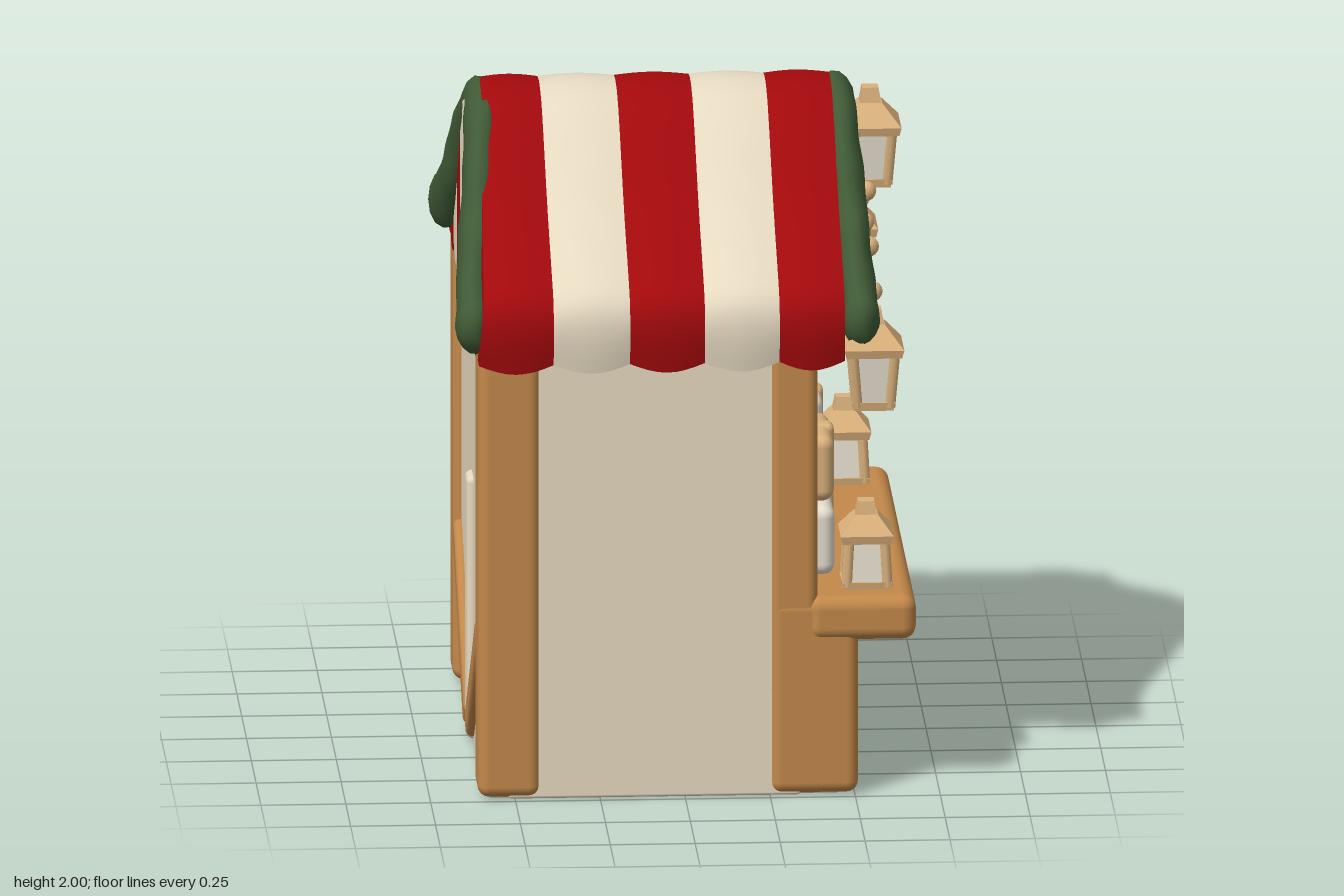
import * as THREE from 'three';
import { toCreasedNormals, mergeVertices } from 'three/addons/utils/BufferGeometryUtils.js';
import { RoundedBoxGeometry } from 'three/addons/geometries/RoundedBoxGeometry.js';

const mat = (name, color) => Object.assign(new THREE.MeshStandardMaterial({ color }), { name });
const wood = mat('wood', 0xc2884a);
const tan = mat('tan', 0xdab17c);
const cream = mat('cream', 0xebdec5);
const plaster = mat('plaster', 0xe6d9c0);
const red = mat('red', 0xa3090c);
const green = mat('green', 0x405a36);
const white = mat('white', 0xebe3d3);

function mesh(name, geometry, material, parent) {
  const m = new THREE.Mesh(geometry, material);
  m.name = name;
  parent.add(m);
  return m;
}

// Rounded block given by its limits on each axis
function block(name, [x0, x1], [y0, y1], [z0, z1], material, parent, r = 0.025) {
  const m = mesh(name, new RoundedBoxGeometry(x1 - x0, y1 - y0, z1 - z0, 3, r), material, parent);
  m.position.set((x0 + x1) / 2, (y0 + y1) / 2, (z0 + z1) / 2);
  return m;
}

// Half profiles of the roof in (z, y)
const outer = [[0, 2], [0.12, 1.978], [0.24, 1.905], [0.456, 1.735], [0.67, 1.605], [0.775, 1.535], [0.805, 1.45], [0.79, 1.335]];
const inner = [[0, 1.92], [0.1, 1.89], [0.22, 1.81], [0.43, 1.65], [0.64, 1.53], [0.715, 1.44], [0.715, 1.335]];
const mirrored = half => [...half.slice(1).reverse().map(([z, y]) => [-z, y]), ...half];
const spline = pts => new THREE.SplineCurve(pts.map(p => new THREE.Vector2(...p))).getPoints(40);

// Underside height of the roof at z
function ceiling(z) {
  const a = Math.abs(z);
  const i = Math.max(1, inner.findIndex(p => p[0] >= a));
  const [p, q] = [inner[i - 1], inner[i]];
  return p[1] + (q[1] - p[1]) * (a - p[0]) / (q[0] - p[0]);
}

function buildRoof(parent) {
  const shape = new THREE.Shape([...spline(mirrored(outer)), ...spline(mirrored(inner)).reverse()]);
  const edges = [-0.61, -0.39, -0.165, 0.055, 0.275, 0.467];
  for (let i = 0; i < 5; i++) {
    const width = edges[i + 1] - edges[i];
    const geo = new THREE.ExtrudeGeometry(shape, { depth: width, steps: 8, bevelEnabled: false });
    const p = geo.attributes.position;
    // puff each stripe and scallop its lower edge
    for (let k = 0; k < p.count; k++) {
      const s = Math.sin(Math.PI * p.getZ(k) / width), y = p.getY(k);
      const w = THREE.MathUtils.clamp((1.5 - y) / 0.16, 0, 1);
      p.setY(k, y - 0.025 * s * w + 0.008 * (s - 1) * (1 - w));
      p.setX(k, p.getX(k) * (1 + 0.012 * (s - 1)));
      if (i === 0) p.setZ(k, p.getZ(k) + 0.07 * (y - 1.33) * (1 - p.getZ(k) / width));
    }
    const m = mesh('roofStripe', toCreasedNormals(geo, 0.7), i % 2 ? cream : red, parent);
    m.rotation.y = Math.PI / 2;
    m.position.x = edges[i];
  }
}

// Scalloped, striped cloth closing one gable
function buildValance(x, parent) {
  const w = 0.17;
  for (let k = -4; k < 4; k++) {
    const z0 = k * w, pts = [];
    for (let i = 0; i <= 8; i++) pts.push(new THREE.Vector2(z0 + w * i / 8, 1.36 - 0.045 * Math.sin(Math.PI * i / 8)));
    for (let i = 4; i >= 0; i--) pts.push(new THREE.Vector2(z0 + w * i / 4, ceiling(z0 + w * i / 4) + 0.02));
    const geo = new THREE.ExtrudeGeometry(new THREE.Shape(pts), {
      depth: 0.02, bevelThickness: 0.012, bevelSize: 0.012, bevelOffset: -0.01, bevelSegments: 3,
    });
    const band = k < 0 ? -k - 1 : k;
    const m = mesh('valancePanel', toCreasedNormals(geo, 0.7), band % 2 ? red : cream, parent);
    m.rotation.y = Math.PI / 2;
    m.position.x = x;
  }
}

// Lumpy flattened tube of greenery through (z, y) points
function buildGarland(name, points, x, lean, radius, parent) {
  const curve = new THREE.CatmullRomCurve3(points.map(([z, y]) => new THREE.Vector3(x + lean * (1.9 - y), y, z)));
  const geo = new THREE.TubeGeometry(curve, 90, radius, 14);
  const { position: p, uv } = geo.attributes;
  const v = new THREE.Vector3();
  for (let i = 0; i < p.count; i++) {
    const u = uv.getX(i), a = uv.getY(i) * Math.PI * 2;
    const c = curve.getPointAt(u);
    const taper = Math.min(1, Math.sqrt(Math.max(0, Math.sin(Math.PI * u)) * 10));
    v.fromBufferAttribute(p, i).sub(c);
    v.x *= 0.62;
    v.multiplyScalar(taper * (1 + 0.03 * Math.sin(u * 60 + 2 * Math.sin(a)) + 0.03 * Math.sin(3 * a + u * 30)));
    p.setXYZ(i, c.x + v.x, c.y + v.y, c.z + v.z);
  }
  geo.deleteAttribute('uv');
  geo.deleteAttribute('normal');
  const smooth = mergeVertices(geo, 1e-4);
  smooth.computeVertexNormals();
  mesh(name, smooth, green, parent);
}

// Square frustum with half widths at top and bottom
function frustum(name, top, bottom, y0, y1, material, parent) {
  const geo = new THREE.CylinderGeometry(top * Math.SQRT2, bottom * Math.SQRT2, y1 - y0, 4, 1).rotateY(Math.PI / 4);
  mesh(name, toCreasedNormals(geo.toNonIndexed(), 0.3), material, parent).position.y = (y0 + y1) / 2;
}

function buildLantern(x, y, z, top, bottom, height, parent) {
  const g = new THREE.Group();
  g.name = 'lantern';
  g.position.set(x, y, z);
  const h = height * 0.6;
  frustum('lanternBase', bottom + 0.004, bottom, 0, 0.025, tan, g);
  frustum('lanternPanes', top - 0.008, bottom - 0.006, 0.02, h, white, g);
  frustum('lanternRim', top + 0.016, top + 0.01, h - 0.015, h + 0.01, tan, g);
  frustum('lanternRoof', 0.034, top + 0.016, h + 0.01, height * 0.85, tan, g);
  frustum('lanternKnob', 0.024, 0.032, height * 0.84, height, tan, g);
  // corner bars
  for (const sx of [-1, 1]) for (const sz of [-1, 1]) {
    const a = new THREE.Vector3(sx * (bottom - 0.01), 0.01, sz * (bottom - 0.01));
    const b = new THREE.Vector3(sx * (top - 0.01), h, sz * (top - 0.01));
    mesh('lanternBar', new THREE.TubeGeometry(new THREE.LineCurve3(a, b), 1, 0.017, 6), tan, g);
  }
  parent.add(g);
}

function buildGift(z, y, width, height, material, bow, parent) {
  const g = new THREE.Group();
  g.name = 'gift';
  const d = 0.13, x = 0.325, e = 0.006, r = 0.035;
  block('giftBox', [x - d, x + d], [y, y + height], [z - width / 2, z + width / 2], material, g, r);
  block('ribbonFront', [x - d - e, x + d + e], [y, y + height + e], [z - 0.033, z + 0.033], tan, g, 0.02);
  block('ribbonSide', [x - 0.033, x + 0.033], [y, y + height + e], [z - width / 2 - e, z + width / 2 + e], tan, g, 0.02);
  if (bow) {
    for (const s of [-1, 1]) {
      const loop = mesh('bowLoop', new THREE.CylinderGeometry(0.036, 0.016, 0.095, 14), tan, g);
      loop.position.set(x, y + height + 0.03, z + s * 0.06);
      loop.rotation.x = s * 1.35;
    }
    mesh('bowKnot', new THREE.SphereGeometry(0.03, 12, 8), tan, g).position.set(x, y + height + 0.025, z);
  }
  parent.add(g);
}

export function createModel() {
  const stall = new THREE.Group();
  stall.name = 'marketStall';

  // Walls and floor
  block('floor', [-0.58, 0.455], [0, 0.04], [-0.71, 0.71], plaster, stall, 0.01);
  block('backWall', [-0.585, -0.53], [0, 1.5], [-0.7, 0.7], plaster, stall, 0.01);
  block('backRib', [-0.605, -0.56], [0, 0.8], [-0.05, 0.05], plaster, stall, 0.02);
  block('frontPanel', [0.42, 0.47], [0, 0.53], [-0.68, 0.68], plaster, stall, 0.01);

  for (const s of [-1, 1]) {
    const span = (a, b) => s > 0 ? [a, b] : [-b, -a];
    block('sideWall', [-0.52, 0.34], [0, 1.45], span(0.66, 0.725), plaster, stall, 0.01);
    block('backPost', [-0.61, -0.425], [0.005, 1.44], span(0.58, 0.74), wood, stall, 0.035);
    block('frontPostLower', [0.25, 0.51], [0.005, 0.595], span(0.58, 0.74), wood, stall, 0.035);
    block('frontPostUpper', [0.25, 0.39], [0.3, 1.44], span(0.555, 0.738), wood, stall, 0.03);
    // diagonal braces front and back
    for (const x of [0.47, -0.585]) {
      const brace = mesh('brace', new RoundedBoxGeometry(0.05, 0.7, 0.09, 3, 0.02), wood, stall);
      brace.position.set(x, 0.262, s * 0.315);
      brace.rotation.x = s * 0.899;
    }
  }
  block('centrePost', [0.42, 0.505], [0.005, 0.5], [-0.065, 0.065], wood, stall);
  block('counterEdge', [0.36, 0.68], [0.47, 0.605], [-0.75, 0.75], wood, stall, 0.04);
  block('counterInside', [0.14, 0.45], [0.48, 0.604], [-0.68, 0.68], wood, stall, 0.03);

  buildRoof(stall);
  buildValance(0.415, stall);
  buildValance(-0.6, stall);

  // Garlands
  const arch = mirrored([[0, 1.905], [0.12, 1.88], [0.28, 1.765], [0.42, 1.63], [0.56, 1.51], [0.68, 1.45], [0.785, 1.425]]);
  buildGarland('frontGarland', arch, 0.487, 0.07, 0.088, stall);
  buildGarland('backGarland', arch, -0.56, -0.13, 0.088, stall);
  buildGarland('garlandSwag', mirrored([[0, 1.5], [0.09, 1.535], [0.15, 1.61], [0.19, 1.71], [0.22, 1.78]]), 0.487, 0.07, 0.08, stall);

  // Fairy lights on the garland
  const lights = [[0.573, 1.49], [0.385, 1.575], [0.24, 1.705], [0.13, 1.58], [-0.02, 1.51], [-0.13, 1.58], [-0.225, 1.725], [-0.375, 1.6], [-0.545, 1.49]];
  for (const [z, y] of lights) mesh('fairyLight', new THREE.SphereGeometry(0.03, 12, 8), tan, stall).position.set(0.56, y, z);

  // Lanterns
  buildLantern(0.585, 1.665, 0, 0.072, 0.058, 0.295, stall);
  for (const s of [-1, 1]) {
    buildLantern(0.555, 1.17, s * 0.68, 0.072, 0.058, 0.3, stall);
    buildLantern(0.54, 0.6, s * 0.585, 0.062, 0.07, 0.26, stall);
  }

  // Gifts on the counter
  buildGift(0.293, 0.6, 0.4, 0.21, white, false, stall);
  buildGift(0.303, 0.815, 0.31, 0.2, tan, true, stall);
  buildGift(-0.253, 0.6, 0.365, 0.19, red, false, stall);
  buildGift(-0.253, 0.795, 0.245, 0.185, white, true, stall);

  return stall;
}
